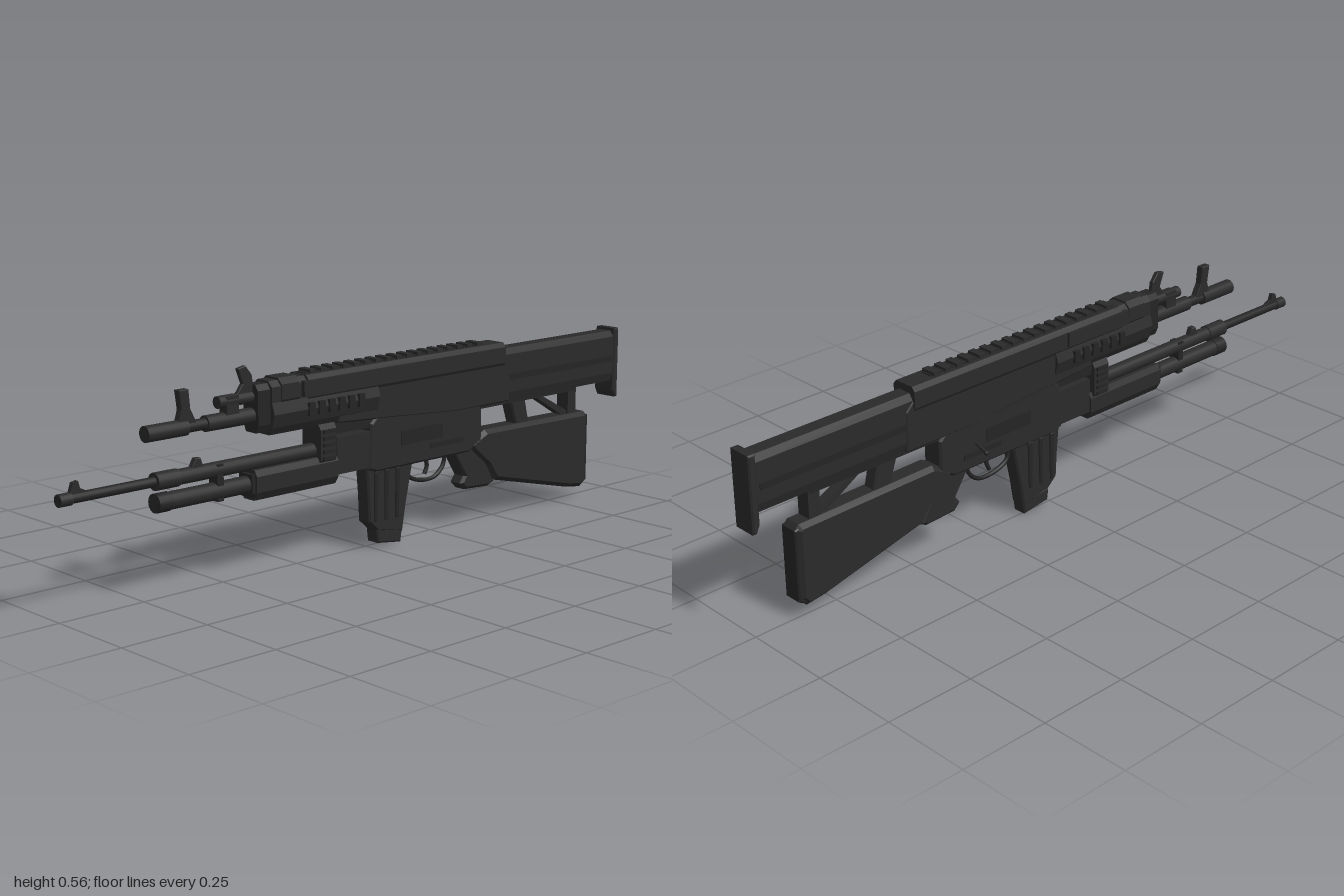
import * as THREE from 'three';

const CX = 0.012; // centre plane of the model

export function createModel() {
  const root = new THREE.Group();
  const body = new THREE.MeshStandardMaterial({ color: 0x2a2a2a });
  body.name = 'gunmetal';
  const dark = new THREE.MeshStandardMaterial({ color: 0x242424 });
  dark.name = 'dark steel';

  const add = (name, geo, mat = body) => {
    const m = new THREE.Mesh(geo, mat);
    m.name = name;
    root.add(m);
    return m;
  };
  const shapeOf = pts => new THREE.Shape(pts.map(p => new THREE.Vector2(p[0], p[1])));

  // Side profile given as [z, y], extruded across the width with chamfered edges
  const profile = (name, pts, width, bevel = 0, mat = body, x = CX) => {
    const g = new THREE.ExtrudeGeometry(shapeOf(pts), {
      depth: width - 2 * bevel, bevelEnabled: bevel > 0, bevelSegments: 1,
      bevelSize: bevel, bevelThickness: bevel, bevelOffset: -bevel,
    });
    g.translate(0, 0, -(width - 2 * bevel) / 2).rotateY(-Math.PI / 2).translate(x, 0, 0);
    return add(name, g, mat);
  };
  // Half cross-section [x, y], top to bottom, mirrored and run along z
  const prism = (name, half, z0, z1, mat = body) => {
    const pts = [...half, ...half.slice().reverse().map(p => [-p[0], p[1]])];
    const g = new THREE.ExtrudeGeometry(shapeOf(pts), { depth: z1 - z0, bevelEnabled: false });
    return add(name, g.translate(CX, 0, z0), mat);
  };
  const box = (name, w, y0, y1, z0, z1, mat = body, x = CX) => add(name,
    new THREE.BoxGeometry(w, y1 - y0, z1 - z0).translate(x, (y0 + y1) / 2, (z0 + z1) / 2), mat);
  const rod = (name, y, r, z0, z1, mat = body, sides = 16) => add(name,
    new THREE.CylinderGeometry(r, r, z1 - z0, sides).rotateX(Math.PI / 2)
      .translate(CX, y, (z0 + z1) / 2), mat);

  // Upper barrel, gas tube and sights
  rod('upperBarrel', 0.424, 0.015, 0.3, 0.74, dark);
  rod('upperMuzzle', 0.424, 0.021, 0.62, 0.745);
  rod('upperBarrelSleeve', 0.424, 0.021, 0.38, 0.56);
  rod('gasTube', 0.472, 0.016, 0.38, 0.52);
  box('gasBlock', 0.03, 0.42, 0.485, 0.46, 0.5);
  profile('frontSight', [[0.65, 0.43], [0.59, 0.43], [0.61, 0.47], [0.615, 0.52], [0.645, 0.52], [0.638, 0.47]], 0.022, 0.002);
  profile('foldingSight', [[0.47, 0.47], [0.4, 0.47], [0.41, 0.53], [0.43, 0.555], [0.455, 0.55], [0.44, 0.51]], 0.014, 0.002);

  // Upper handguard with side vents
  prism('upperHandguard', [[0.022, 0.51], [0.036, 0.495], [0.036, 0.455], [0.046, 0.425], [0.036, 0.39], [0.024, 0.37]], 0.0, 0.37);
  prism('handguardNose', [[0.018, 0.505], [0.029, 0.49], [0.029, 0.4], [0.02, 0.38]], 0.36, 0.41, dark);
  prism('handguardCollar', [[0.024, 0.515], [0.04, 0.5], [0.04, 0.46], [0.03, 0.445]], 0.28, 0.34);
  for (const s of [-1, 1]) {
    box('sideRail', 0.014, 0.46, 0.5, 0.04, 0.27, body, CX + s * 0.041);
    for (let i = 0; i < 6; i++)
      box('ventRib', 0.012, 0.408, 0.442, 0.06 + i * 0.035, 0.08 + i * 0.035, dark, CX + s * 0.045);
  }

  // Upper receiver, top cover and rail
  profile('upperReceiver', [[0.14, 0.37], [0.14, 0.49], [-0.48, 0.49], [-0.52, 0.45], [-0.52, 0.34], [-0.3, 0.34], [-0.02, 0.36]], 0.07, 0.004);
  prism('topCover', [[0.03, 0.512], [0.04, 0.5], [0.04, 0.455], [0.034, 0.445]], -0.495, 0.25);
  box('railBase', 0.034, 0.505, 0.515, -0.42, 0.24, dark);
  for (let i = 0; i < 17; i++)
    box('railTooth', 0.044, 0.51, 0.522, -0.415 + i * 0.039, -0.395 + i * 0.039);

  // Upper stock with butt plate
  prism('upperStock', [[0.02, 0.492], [0.032, 0.475], [0.032, 0.365], [0.024, 0.34]], -0.985, -0.48);
  box('stockSideStrip', 0.068, 0.4, 0.418, -0.97, -0.5, dark);
  profile('buttPlate', [[-0.978, 0.5], [-1, 0.5], [-1, 0.29], [-0.988, 0.29], [-0.978, 0.31]], 0.072, 0.004);
  box('underRail', 0.045, 0.33, 0.36, -0.82, -0.4, dark);

  // Struts tying the upper and lower stocks together
  profile('upperGrip', [[-0.535, 0.35], [-0.6, 0.35], [-0.622, 0.26], [-0.565, 0.26]], 0.042, 0.005);
  box('rearStrut', 0.042, 0.24, 0.36, -0.825, -0.79);
  profile('diagonalBrace', [[-0.62, 0.35], [-0.645, 0.35], [-0.8, 0.268], [-0.8, 0.25], [-0.79, 0.25]], 0.03);

  // Lower receiver
  profile('lowerReceiver', [[0.02, 0.35], [-0.01, 0.38], [-0.36, 0.38], [-0.41, 0.33], [-0.41, 0.24], [-0.36, 0.215], [0.0, 0.215], [0.03, 0.225]], 0.066, 0.006);
  box('ejectionCover', 0.07, 0.275, 0.315, -0.25, -0.09, dark);
  box('selectorLever', 0.072, 0.25, 0.264, -0.33, -0.2, dark);

  // Bolt handle on the right side
  const handlePath = new THREE.LineCurve3(new THREE.Vector3(-0.01, 0.288, -0.285), new THREE.Vector3(-0.06, 0.268, -0.285));
  add('boltHandle', new THREE.TubeGeometry(handlePath, 1, 0.005, 8), dark);
  add('boltKnob', new THREE.SphereGeometry(0.007, 10, 8).translate(-0.058, 0.269, -0.285), dark);

  // Magazine with ribs and foot
  profile('magazine', [[0.03, 0.24], [-0.15, 0.24], [-0.12, 0.1], [-0.108, 0.03], [-0.015, 0.045], [0.018, 0.075], [0.022, 0.15]], 0.048, 0.005);
  for (const z of [-0.085, -0.045, -0.005])
    profile('magazineRib', [[z + 0.008, 0.215], [z - 0.008, 0.215], [z - 0.004, 0.075], [z + 0.008, 0.075]], 0.056, 0.002, dark);
  profile('magazineFoot', [[-0.01, 0.05], [-0.108, 0.04], [-0.102, 0.0], [-0.015, 0.012]], 0.045, 0.004);

  // Trigger and guard
  const guard = new THREE.CatmullRomCurve3([[0.22, -0.135], [0.175, -0.15], [0.155, -0.2], [0.158, -0.255], [0.19, -0.288], [0.22, -0.29]]
    .map(([y, z]) => new THREE.Vector3(CX, y, z)));
  add('triggerGuard', new THREE.TubeGeometry(guard, 20, 0.006, 8), dark);
  const trigger = new THREE.CatmullRomCurve3([[0.22, -0.21], [0.195, -0.222], [0.17, -0.212]]
    .map(([y, z]) => new THREE.Vector3(CX, y, z)));
  add('trigger', new THREE.TubeGeometry(trigger, 8, 0.006, 8), dark);

  // Pistol grip and lower stock
  profile('pistolGrip', [[-0.29, 0.24], [-0.4, 0.25], [-0.425, 0.2], [-0.475, 0.11], [-0.45, 0.1], [-0.355, 0.105], [-0.335, 0.125], [-0.35, 0.145]], 0.05, 0.008);
  profile('lowerStock', [[-0.36, 0.235], [-0.43, 0.268], [-0.86, 0.262], [-0.87, 0.25], [-0.87, 0.055], [-0.85, 0.032], [-0.79, 0.04], [-0.47, 0.115], [-0.44, 0.16], [-0.38, 0.21]], 0.068, 0.012);
  profile('lowerButtPad', [[-0.85, 0.258], [-0.875, 0.25], [-0.875, 0.05], [-0.85, 0.036]], 0.056, 0.004, dark);

  // Lower barrel, front sight and sleeves
  rod('lowerBarrel', 0.302, 0.013, 0.6, 1.0, dark);
  rod('lowerMuzzle', 0.302, 0.016, 0.965, 1.0);
  rod('barrelSleeve', 0.302, 0.023, 0.65, 0.72);
  rod('barrelShroud', 0.302, 0.02, 0.0, 0.66);
  profile('lowerFrontSight', [[0.97, 0.31], [0.91, 0.31], [0.94, 0.325], [0.945, 0.343], [0.96, 0.34]], 0.012);
  profile('lowerRearSight', [[0.61, 0.315], [0.57, 0.315], [0.58, 0.342], [0.595, 0.342]], 0.018, 0.002);

  // Tube under the barrel with a sliding forend
  rod('underTube', 0.247, 0.023, 0.0, 0.72);
  rod('tubeCap', 0.247, 0.025, 0.68, 0.72, dark);
  box('tubeBand', 0.034, 0.222, 0.318, 0.515, 0.535, dark);
  prism('forend', [[0.024, 0.286], [0.033, 0.27], [0.033, 0.228], [0.02, 0.206]], 0.14, 0.42);
  prism('forendLip', [[0.026, 0.276], [0.026, 0.225], [0.018, 0.215]], 0.415, 0.43, dark);
  box('barrelLug', 0.056, 0.23, 0.33, 0.0, 0.14);

  // Ribbed clamp between the two barrels
  prism('clamp', [[0.026, 0.375], [0.036, 0.36], [0.036, 0.28], [0.025, 0.262]], 0.15, 0.205);
  for (let i = 0; i < 5; i++)
    box('clampRib', 0.082, 0.278 + i * 0.018, 0.288 + i * 0.018, 0.158, 0.197, dark);
  box('clampBridge', 0.05, 0.34, 0.385, 0.0, 0.2, dark);

  return root;
}
